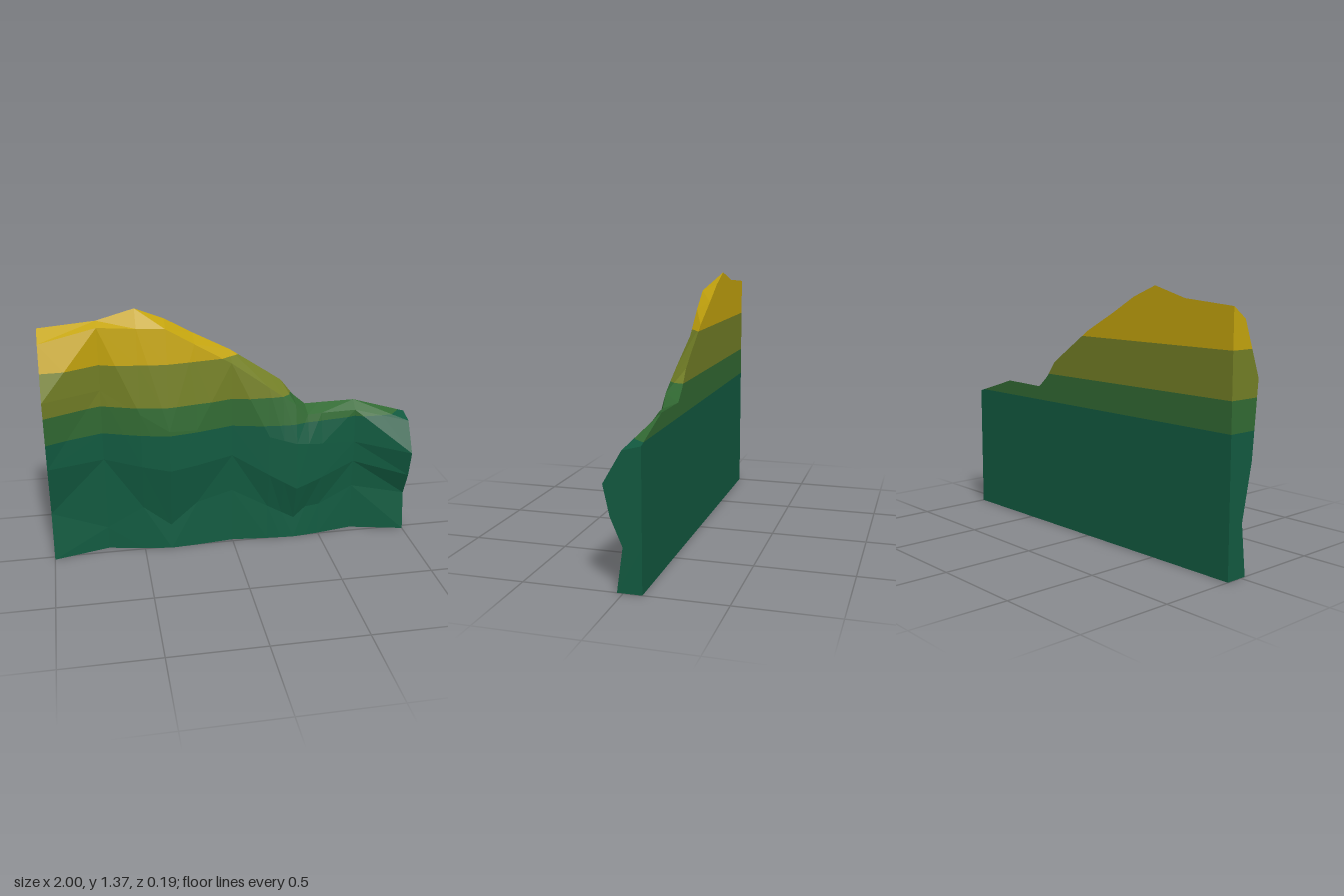
import * as THREE from 'three';

const BACK = -0.092;

// Ridges and valleys of the rock face: x, back rim height, foot depth z,
// then four front points [y, z] going up to the front rim.
const KEYS = [
  [-1, 1.29, 0.03, [0.27, 0], [0.56, 0.06], [0.95, 0.093], [1.23, -0.01]],
  [-0.7, 1.315, -0.047, [0.13, -0.05], [0.55, -0.047], [0.95, -0.046], [1.29, -0.045]],
  [-0.35, 1.31, 0.015, [0.14, 0], [0.5, 0.065], [0.73, 0.06], [1.275, -0.01]],
  [0, 1.12, -0.017, [0.31, -0.03], [0.53, -0.02], [0.7, -0.025], [1.06, -0.035]],
  [0.35, 0.84, 0.013, [0.12, 0], [0.33, 0.058], [0.6, 0.05], [0.81, -0.005]],
  [0.7, 0.785, -0.04, [0.27, -0.045], [0.43, -0.035], [0.55, -0.035], [0.74, -0.045]],
  [1, 0.695, 0.03, [0.22, 0], [0.36, 0.06], [0.51, 0.093], [0.67, 0]],
];

// Blended sections between them: x, back rim height, lift of the lowest notch
const BETWEEN = [[-0.5, 1.37, 0.12], [-0.2, 1.225, 0.05], [0.2, 0.985, 0],
  [0.28, 0.93, 0], [0.42, 0.78, 0.03], [0.5, 0.782, 0]];

// Horizontal colour bands: name, material name, colour, lower and upper height
const BANDS = [
  ['cliffBase', 'deep green', 0x125a40, -1, 0.705],
  ['lowerBand', 'moss green', 0x326a33, 0.705, 0.86],
  ['middleBand', 'olive', 0x737f26, 0.86, 1.09],
  ['crest', 'golden yellow', 0xc4a40e, 1.09, 3],
];

function makeSection(x, top, front) {
  return {
    x, front,
    backTop: new THREE.Vector3(x, top, BACK),
    backFoot: new THREE.Vector3(x, 0, BACK),
  };
}

function buildSections() {
  const keys = KEYS.map(([x, top, footZ, ...pts]) =>
    makeSection(x, top, [[0, footZ], ...pts].map(([y, z]) => new THREE.Vector3(x, y, z))));
  const blends = BETWEEN.map(([x, top, lift]) => {
    const k = keys.findIndex((s) => s.x > x);
    const a = keys[k - 1], b = keys[k];
    const t = (x - a.x) / (b.x - a.x);
    // Depth rises quickly out of the valley and rounds off at the ridge
    const toB = b.front[2].z > a.front[2].z;
    const u = toB ? t : 1 - t;
    const eased = u * (1.4 - 0.4 * u);
    const tz = toB ? eased : 1 - eased;
    const front = a.front.map((p, i) => new THREE.Vector3(
      x,
      Math.min(THREE.MathUtils.lerp(p.y, b.front[i].y, t) + (i === 1 ? lift : 0), top - 0.035),
      THREE.MathUtils.lerp(p.z, b.front[i].z, tz)));
    return makeSection(x, top, front);
  });
  return [...keys, ...blends].sort((a, b) => a.x - b.x);
}

// Keep the part of a polygon where sign * (y - h) >= 0
function clip(poly, h, sign) {
  const out = [];
  poly.forEach((p, i) => {
    const q = poly[(i + 1) % poly.length];
    const dp = sign * (p.y - h), dq = sign * (q.y - h);
    if (dp >= 0) out.push(p);
    if (dp * dq < 0) out.push(p.clone().lerp(q, dp / (dp - dq)));
  });
  return out;
}

function buildFaces() {
  const faces = [];
  const cols = buildSections();
  // Quad split so that the ridge's lower corner meets the valley's upper corner
  const quad = (a0, b0, b1, a1, ridgeOnB) => {
    if (ridgeOnB) faces.push([a0, b0, a1], [b0, b1, a1]);
    else faces.push([a0, b0, b1], [a0, b1, a1]);
  };
  for (let c = 0; c < cols.length - 1; c++) {
    const a = cols[c], b = cols[c + 1];
    const ridgeOnB = b.front[2].z > a.front[2].z;
    for (let i = 0; i < 4; i++) quad(a.front[i], b.front[i], b.front[i + 1], a.front[i + 1], ridgeOnB);
    quad(a.front[4], b.front[4], b.backTop, a.backTop, ridgeOnB); // top
    quad(a.backTop, b.backTop, b.backFoot, a.backFoot, true); // back
    quad(a.backFoot, b.backFoot, b.front[0], a.front[0], true); // underside
  }
  // End walls, as strips from the front outline to the back plane
  const onBack = (p) => new THREE.Vector3(p.x, p.y, BACK);
  [[cols[0], true], [cols[cols.length - 1], false]].forEach(([col, flip]) => {
    const add = (poly) => faces.push(flip ? poly.reverse() : poly);
    for (let i = 0; i < 4; i++) {
      const p = col.front[i], q = col.front[i + 1];
      add([p, onBack(p), onBack(q), q]);
    }
    add([col.front[4], onBack(col.front[4]), col.backTop]);
  });
  return faces;
}

export function createModel() {
  const model = new THREE.Group();
  model.name = 'cliffSlab';
  const faces = buildFaces();
  for (const [name, matName, color, low, high] of BANDS) {
    const pos = [];
    for (const face of faces) {
      const poly = clip(clip(face, low, 1), high, -1);
      for (let i = 1; i < poly.length - 1; i++) {
        for (const p of [poly[0], poly[i], poly[i + 1]]) pos.push(p.x, p.y, p.z);
      }
    }
    const geo = new THREE.BufferGeometry();
    geo.setAttribute('position', new THREE.Float32BufferAttribute(pos, 3));
    geo.computeVertexNormals(); // unshared corners give flat facets
    const mat = new THREE.MeshStandardMaterial({ color });
    mat.name = matName;
    const mesh = new THREE.Mesh(geo, mat);
    mesh.name = name;
    model.add(mesh);
  }
  return model;
}
